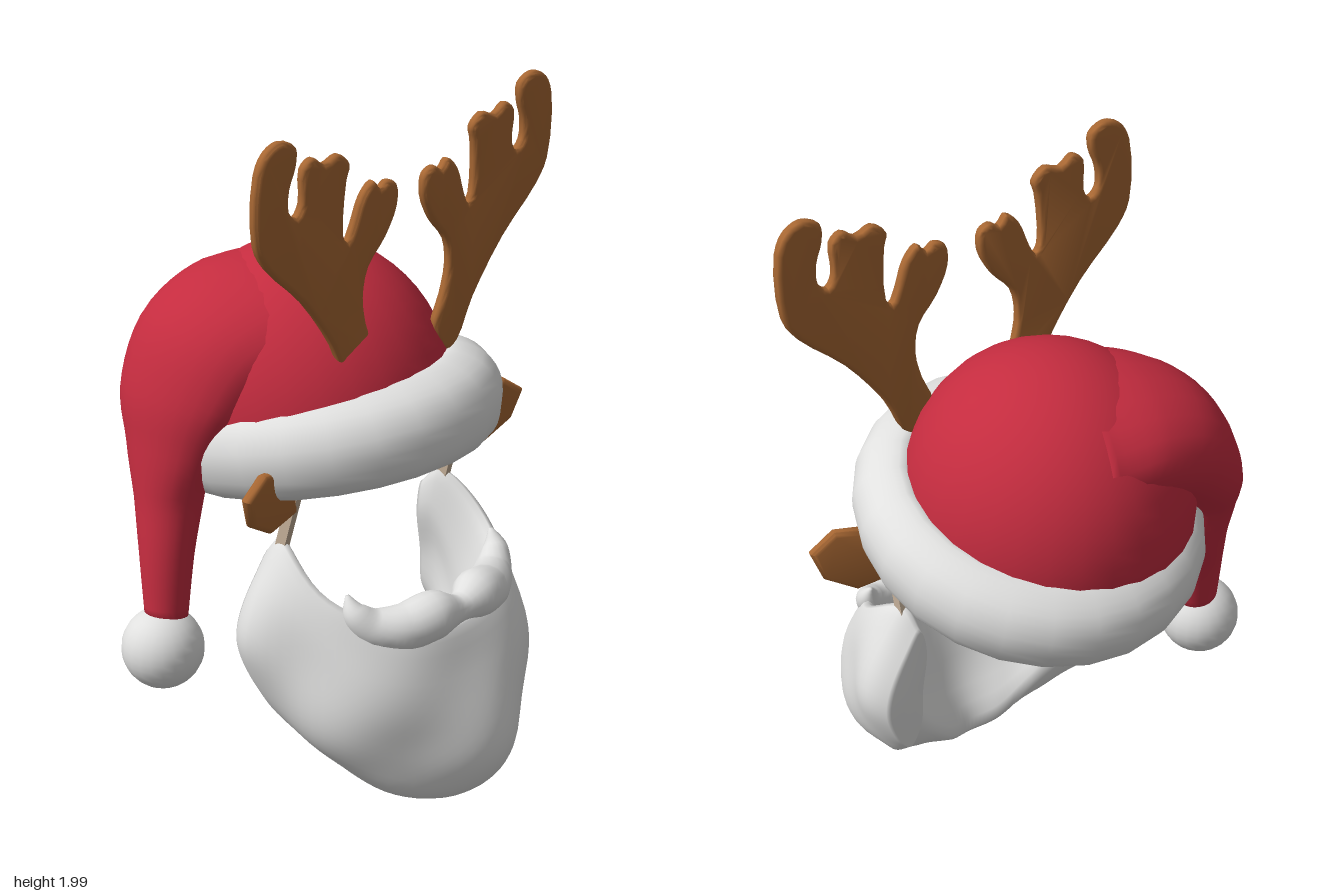
import * as THREE from 'three';
import { toCreasedNormals } from 'three/addons/utils/BufferGeometryUtils.js';

const CX = 0.07; // mirror plane of the beard, antlers and ears
const V3 = (x, y, z) => new THREE.Vector3(x, y, z);
const mat = (name, color) => {
  const m = new THREE.MeshStandardMaterial({ color });
  m.name = name;
  return m;
};

// Skin through closed rings, capped at both ends
function loft(rings) {
  const n = rings[0].length, last = (rings.length - 1) * n, pos = [], idx = [];
  rings.forEach(r => r.forEach(p => pos.push(p.x, p.y, p.z)));
  for (let i = 0; i < rings.length - 1; i++) {
    for (let j = 0; j < n; j++) {
      const a = i * n + j, b = i * n + (j + 1) % n;
      idx.push(a, b, a + n, b, b + n, a + n);
    }
  }
  const cap = rings.length * n;
  for (const r of [rings[0], rings[rings.length - 1]]) {
    const c = r.reduce((s, p) => s.add(p), V3(0, 0, 0)).divideScalar(n);
    pos.push(c.x, c.y, c.z);
  }
  for (let j = 0; j < n; j++) {
    const k = (j + 1) % n;
    idx.push(cap, k, j, cap + 1, last + j, last + k);
  }
  const g = new THREE.BufferGeometry();
  g.setAttribute('position', new THREE.Float32BufferAttribute(pos, 3));
  g.setIndex(idx);
  g.computeVertexNormals();
  return g;
}

// Oval sweep through [x, y, z, radius across, radius in depth] stations
function sweep(stations, steps, sides) {
  const path = new THREE.CatmullRomCurve3(stations.map(s => V3(s[0], s[1], s[2])));
  const size = new THREE.CatmullRomCurve3(stations.map(s => V3(s[3], s[4], 0)));
  const rings = [];
  for (let i = 0; i <= steps; i++) {
    const t = i / steps, c = path.getPoint(t), r = size.getPoint(t), T = path.getTangent(t);
    const A = V3(0, 0, 1).cross(T).normalize(), B = T.clone().cross(A);
    rings.push(Array.from({ length: sides }, (_, j) => {
      const f = j / sides * Math.PI * 2;
      return c.clone().addScaledVector(A, r.x * Math.cos(f)).addScaledVector(B, r.y * Math.sin(f));
    }));
  }
  return loft(rings);
}

// Pillowed flat plate around a pivot height, mirrored by side
function plate(outline, side, pivotY, depth, bevel) {
  const shape = new THREE.Shape(outline.map(([x, y]) => new THREE.Vector2(side * x, y - pivotY)));
  const g = new THREE.ExtrudeGeometry(shape, {
    depth, bevelEnabled: true, bevelThickness: bevel, bevelSize: bevel, bevelOffset: -bevel, bevelSegments: 3,
  });
  return toCreasedNormals(g.translate(0, 0, -depth / 2), 0.8);
}

// Rounded closed outline through a few points
function rounded(points, count) {
  const c = new THREE.CatmullRomCurve3(points.map(([x, y]) => V3(x, y, 0)), true);
  return c.getPoints(count).slice(0, -1).map(p => [p.x, p.y]);
}

// Beard sections: angle from the front, then [radius, height] around each section,
// from the top rim down the outside, under the bottom and up the hollow inside
const BEARD = [
  [0, [[.40, .56], [.47, .45], [.52, .30], [.53, .16], [.48, .05], [.34, .01], [.18, .05], [.26, .24], [.34, .45]]],
  [30, [[.40, .60], [.47, .48], [.52, .33], [.52, .20], [.46, .09], [.32, .04], [.18, .08], [.26, .27], [.34, .47]]],
  [56, [[.39, .68], [.46, .56], [.48, .41], [.45, .28], [.385, .18], [.28, .12], [.22, .18], [.29, .35], [.33, .52]]],
  [85, [[.32, .80], [.39, .70], [.435, .56], [.44, .45], [.41, .33], [.36, .27], [.31, .34], [.31, .52], [.29, .68]]],
  [97, [[.31, .74], [.36, .66], [.40, .55], [.41, .46], [.39, .37], [.36, .34], [.32, .40], [.31, .52], [.29, .66]]],
];

function beardGeometry() {
  const mirrored = BEARD.slice(1).reverse().map(([a, s]) => [-a, s]);
  const stations = [...mirrored, ...BEARD];
  const rows = BEARD[0][1].map((_, k) =>
    new THREE.CatmullRomCurve3(stations.map(([a, s]) => V3(s[k][0], s[k][1], THREE.MathUtils.degToRad(a)))));
  const rings = [], steps = 56, sides = 40;
  for (let i = 0; i <= steps; i++) {
    const section = new THREE.CatmullRomCurve3(rows.map(c => c.getPoint(i / steps)), true);
    rings.push(Array.from({ length: sides }, (_, j) => {
      const p = section.getPoint(j / sides), a = p.z;
      // curls on the outside only
      const outside = Math.max(0, Math.sin(j / sides * Math.PI * 1.8));
      const r = p.x + outside * 0.028 * Math.cos(a * 6) * Math.cos((p.y - 0.2) * 9);
      return V3(CX + r * Math.sin(a), p.y, 0.03 + r * Math.cos(a));
    }));
  }
  return loft(rings);
}

const ANTLER = [
  [.17, 1.26], [.12, 1.34], [.15, 1.43], [.165, 1.51], [.15, 1.59], [.09, 1.66], [.05, 1.74], [.055, 1.80],
  [.09, 1.815], [.115, 1.80], [.14, 1.825], [.18, 1.79], [.21, 1.715], [.23, 1.68], [.245, 1.70], [.24, 1.85],
  [.23, 1.89], [.27, 1.925], [.32, 1.91], [.36, 1.935], [.395, 1.91], [.395, 1.82], [.415, 1.79], [.44, 1.81],
  [.44, 1.87], [.42, 1.925], [.42, 1.975], [.47, 2.0], [.52, 1.98], [.55, 1.925], [.55, 1.74], [.51, 1.67],
  [.38, 1.545], [.27, 1.395], [.215, 1.28],
];
const EAR = [[.32, .90], [.44, .885], [.53, .945], [.56, 1.035], [.485, 1.085], [.40, 1.07], [.32, .97]];

export function createModel() {
  const model = new THREE.Group();
  const white = mat('white', 0xe0e0df), red = mat('red', 0xc42c3f);
  const brown = mat('brown', 0xa76733), beige = mat('beige', 0xc4af98);
  const add = (name, geometry, material) => {
    const m = new THREE.Mesh(geometry, material);
    m.name = name;
    model.add(m);
    return m;
  };

  // Hat: fluffy brim with its lining, crown, drooping tail and pompom
  const profile = [[0, .15], [.2, .12], [.34, .04], [.385, -.04], [.405, -.095], [.445, -.125],
    [.495, -.085], [.518, 0], [.495, .075], [.44, .12], [.38, .135], [.34, .10]];
  const curve = new THREE.SplineCurve(profile.map(p => new THREE.Vector2(...p)));
  const points = curve.getPoints(33);
  points[0].x = 0;
  const brim = add('hatBrim', new THREE.LatheGeometry(points, 24).scale(0.925, 1, 1), white);
  brim.position.set(0.047, 1.06, -0.065);
  brim.rotation.set(-0.22, 0, 0.03);

  const dome = new THREE.SphereGeometry(1, 28, 16, 0, Math.PI * 2, 0, Math.PI * 0.56).scale(0.398, 0.447, 0.42);
  const crown = add('hatCrown', dome, red);
  crown.position.set(0.003, 1.12, -0.095);
  crown.rotation.x = -0.2;

  add('hatTail', sweep([
    [-.02, 1.34, -.15, .19, .30], [-.15, 1.335, -.18, .185, .29], [-.275, 1.28, -.205, .175, .255],
    [-.375, 1.16, -.215, .125, .21], [-.415, 1.05, -.21, .095, .155], [-.435, .90, -.20, .09, .105],
    [-.47, .75, -.175, .075, .08], [-.50, .56, -.15, .06, .06],
  ], 36, 24), red);
  add('pompom', new THREE.SphereGeometry(0.117, 22, 16), white).position.set(-0.52, 0.48, -0.145);

  // Beard and moustache
  add('beard', beardGeometry(), white);
  const half = [[.09, .608, .415, .07], [.17, .59, .385, .067], [.245, .60, .34, .055],
    [.285, .645, .31, .038], [.292, .695, .285, .006]];
  const side = s => half.map(([x, y, z, r]) => [CX + s * x, y, z, r, r]);
  add('moustache', sweep([...side(-1).reverse(), [CX, .602, .43, .04, .04], ...side(1)], 50, 16), white);

  // Headband arching under the hat
  const arch = new THREE.Shape();
  arch.moveTo(0.335, -0.2);
  arch.lineTo(0.33, 0);
  arch.absellipse(0, 0, 0.33, 0.32, 0, Math.PI, false);
  arch.lineTo(-0.335, -0.2);
  arch.lineTo(-0.315, -0.2);
  arch.lineTo(-0.31, 0);
  arch.absellipse(0, 0, 0.31, 0.30, Math.PI, 0, true);
  arch.lineTo(0.315, -0.2);
  const band = add('headband',
    new THREE.ExtrudeGeometry(arch, { depth: 0.035, bevelEnabled: false, curveSegments: 24 }), beige);
  band.position.set(CX, 0.97, 0.1);
  band.rotation.x = 0.28;

  // Antlers and ears on both sides
  const antlerOutline = rounded(ANTLER, 105);
  for (const [s, label] of [[1, 'left'], [-1, 'right']]) {
    const antler = add(label + 'Antler', plate(antlerOutline, s, 1.28, 0.006, 0.014), brown);
    antler.position.set(CX, 1.28, 0.195);
    antler.rotation.x = 0.04;
    const ear = add(label + 'Ear', plate(EAR, s, 0.985, 0.004, 0.016), brown);
    ear.position.set(CX, 0.985, 0.045);
    ear.rotation.set(0.12, -0.2 * s, 0);
  }
  return model;
}
